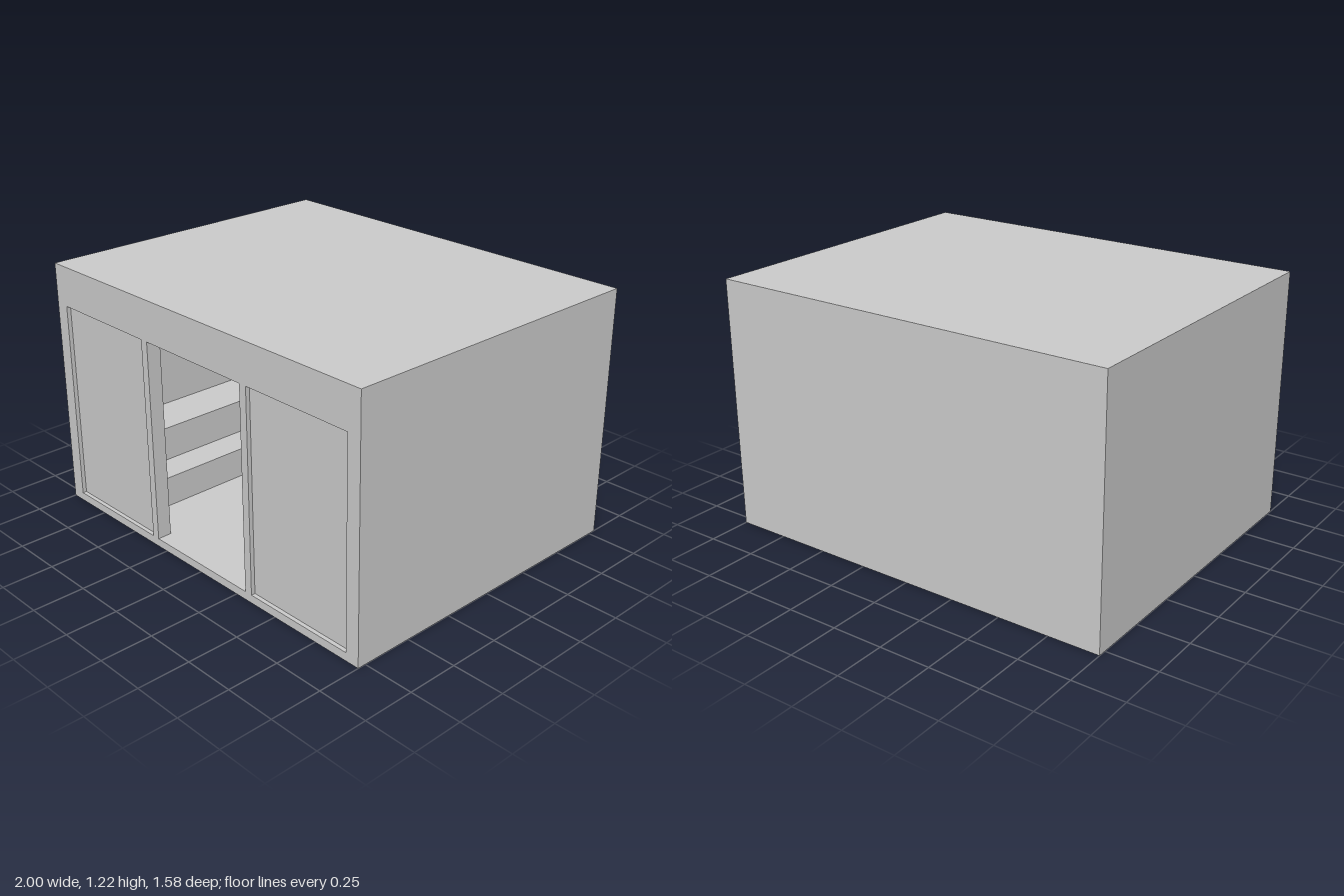
import * as THREE from 'three';

const W = 1, D = 0.79, H = 1.215;          // half width, half depth, height
const IN_X = 0.93, IN_Z = 0.72;            // inner faces of the walls
const FLOOR = 0.04, CEILING = 1.15;
const OPEN_TOP = 1.02;

const material = new THREE.MeshStandardMaterial({ color: 0xcccccc, flatShading: true });

function add(group, name, geometry) {
  const mesh = new THREE.Mesh(geometry, material);
  mesh.name = name;
  group.add(mesh);
  return mesh;
}

// Box given by its limits on each axis
function block(group, name, x0, x1, y0, y1, z0, z1) {
  const mesh = add(group, name, new THREE.BoxGeometry(x1 - x0, y1 - y0, z1 - z0));
  mesh.position.set((x0 + x1) / 2, (y0 + y1) / 2, (z0 + z1) / 2);
  return mesh;
}

function rectangle(Type, x0, x1, y0, y1) {
  return new Type([[x0, y0], [x1, y0], [x1, y1], [x0, y1]].map(([x, y]) => new THREE.Vector2(x, y)));
}

// Upright slab from z0 to z1 with rectangular openings
function framedSlab(group, name, openings, z0, z1) {
  const shape = rectangle(THREE.Shape, -W, W, 0, H);
  for (const o of openings) shape.holes.push(rectangle(THREE.Path, ...o));
  const geometry = new THREE.ExtrudeGeometry(shape, { depth: z1 - z0, bevelEnabled: false });
  add(group, name, geometry).position.z = z0;
}

export function createModel() {
  const model = new THREE.Group();
  model.name = 'cabin';

  // Shell: sides, floor and roof in one sleeve, closed by back and front walls
  framedSlab(model, 'sidesFloorAndRoof', [[-IN_X, IN_X, FLOOR, CEILING]], -IN_Z, IN_Z);
  framedSlab(model, 'backWall', [], -D, -IN_Z);
  framedSlab(model, 'frontWall', [
    [-0.93, -0.35, FLOOR, OPEN_TOP],
    [-0.31, 0.31, FLOOR, OPEN_TOP],
    [0.35, 0.93, FLOOR, OPEN_TOP],
  ], IN_Z, D);

  // Recessed window panes beside the doorway
  for (const [name, side] of [['leftPane', 1], ['rightPane', -1]]) {
    const x = [0.35 * side, 0.93 * side].sort((a, b) => a - b);
    block(model, name, x[0], x[1], FLOOR, OPEN_TOP, 0.74, 0.77);
  }

  // Stepped benches across the back
  const tiers = [FLOOR, 0.19, 0.36, 0.52];
  const fronts = [-0.195, -0.365, -0.535];
  fronts.forEach((z, i) => {
    block(model, 'backBench' + (i + 1), -IN_X, IN_X, tiers[i], tiers[i + 1], -IN_Z, z);
  });

  // Two stepped benches along each side, ending at the back benches
  for (const [name, side] of [['leftBench', 1], ['rightBench', -1]]) {
    [0.53, 0.69].forEach((inner, i) => {
      const x = [inner * side, IN_X * side].sort((a, b) => a - b);
      block(model, name + (i + 1), x[0], x[1], tiers[i], tiers[i + 1], fronts[0], IN_Z);
    });
  }

  // Pillar in the middle of the back wall
  block(model, 'backPillar', -0.08, 0.08, tiers[3], CEILING, -IN_Z, -0.62);

  return model;
}
